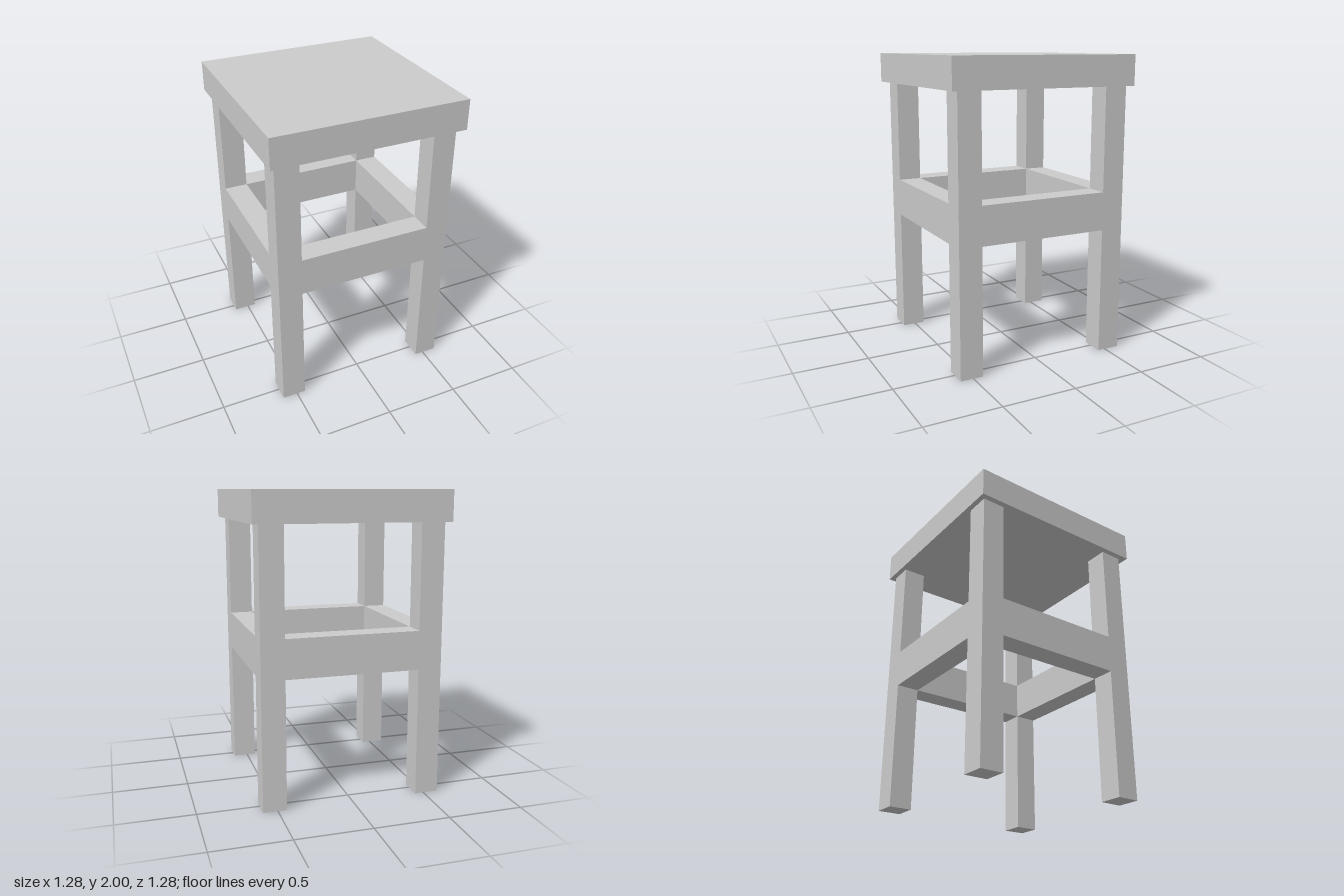
import * as THREE from 'three';

export function createModel() {
  const model = new THREE.Group();
  const material = new THREE.MeshStandardMaterial({ color: 0xcccccc, flatShading: true });

  // Adds a box spanning the given [min, max] ranges
  function addBox(name, [x0, x1], [y0, y1], [z0, z1]) {
    const mesh = new THREE.Mesh(new THREE.BoxGeometry(x1 - x0, y1 - y0, z1 - z0), material);
    mesh.position.set((x0 + x1) / 2, (y0 + y1) / 2, (z0 + z1) / 2);
    mesh.name = name;
    model.add(mesh);
  }

  const seatBottom = 1.8;
  const railY = [0.853, 1.11];
  const legX = { right: [-0.6, -0.443], left: [0.441, 0.596] };
  const legZ = { front: [0.433, 0.588], back: [-0.604, -0.449] };

  // Seat slab
  addBox('seat', [-0.638, 0.638], [seatBottom, 2], [-0.638, 0.638]);

  // Four square legs
  for (const [end, z] of Object.entries(legZ)) {
    for (const [side, x] of Object.entries(legX)) {
      addBox(`${end}${side === 'left' ? 'Left' : 'Right'}Leg`, x, [0, seatBottom], z);
    }
  }

  // Rails between the legs, flush with their faces
  for (const [end, z] of Object.entries(legZ)) {
    addBox(`${end}Rail`, [legX.right[1], legX.left[0]], railY, z);
  }
  for (const [side, x] of Object.entries(legX)) {
    addBox(`${side}Rail`, x, railY, [legZ.back[1], legZ.front[0]]);
  }

  return model;
}
